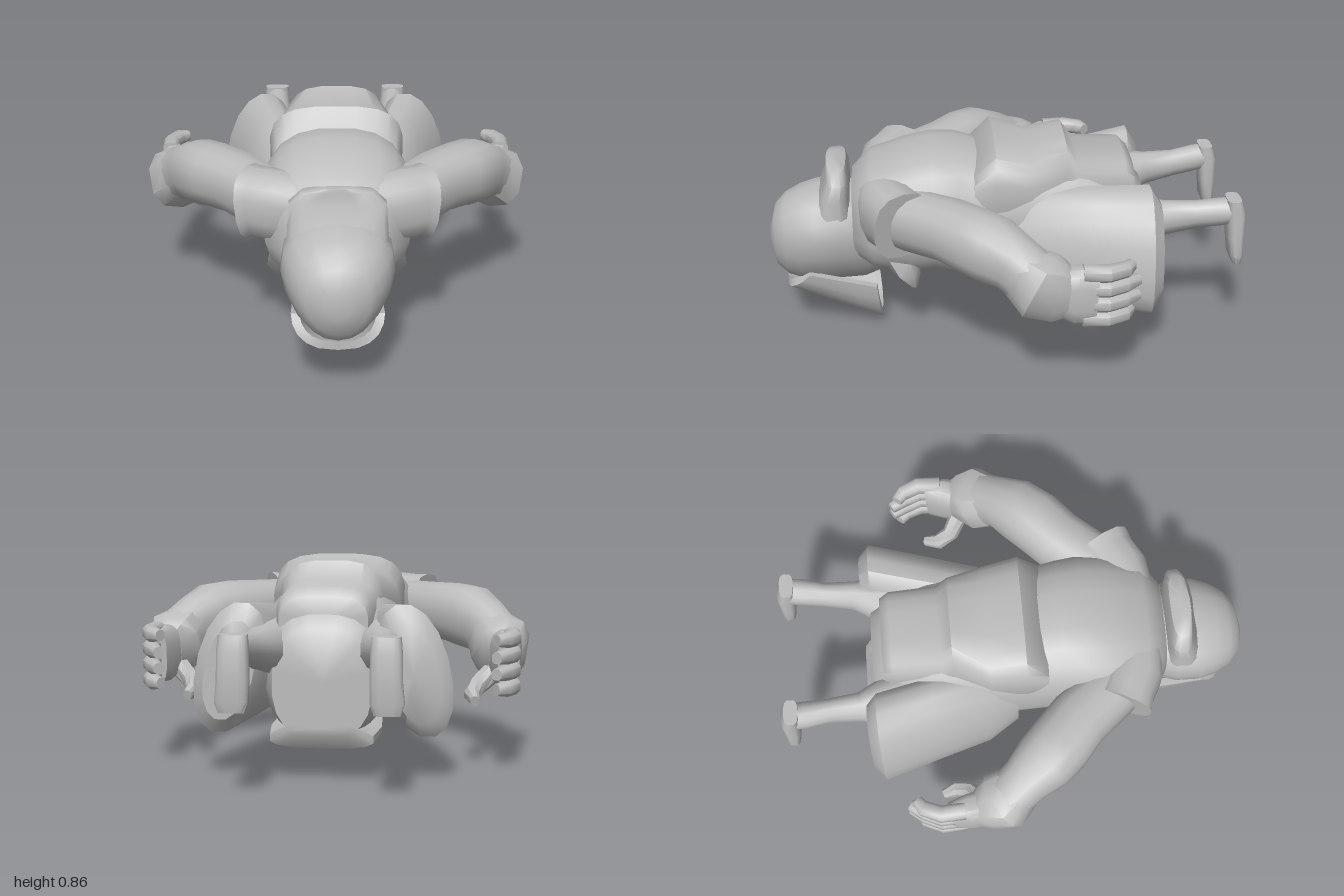
import * as THREE from 'three';
import { toCreasedNormals } from 'three/addons/utils/BufferGeometryUtils.js';

const V = (x, y, z) => new THREE.Vector3(x, y, z);

// Loft through sections [x, y, z, side radius, up radius]; a fixed axis keeps every ring parallel.
// skew leans the rings sideways with height, taper widens them with height
function loft(sections, { axis = null, power = 2, sides = 14, skew = 0, taper = 0, crease = 0.8 } = {}) {
  const pos = [], index = [], n = sections.length;
  const centre = i => V(...sections[i].slice(0, 3));
  for (let i = 0; i < n; i++) {
    const c = centre(i);
    const t = axis ? axis.clone() : centre(Math.min(i + 1, n - 1)).sub(centre(Math.max(i - 1, 0))).normalize();
    const s = (Math.abs(t.y) > 0.9 ? V(0, 0, 1) : V(0, 1, 0)).cross(t).normalize();
    const u = t.clone().cross(s);
    const bend = w => Math.sign(w) * Math.pow(Math.abs(w), 2 / power);
    for (let j = 0; j < sides; j++) {
      const a = ((j + 0.5) / sides) * Math.PI * 2;
      const p = c.clone().addScaledVector(s, bend(Math.cos(a)) * sections[i][3])
        .addScaledVector(u, bend(Math.sin(a)) * sections[i][4]);
      const h = p.y - c.y;
      pos.push(c.x + (p.x - c.x) * (1 + taper * h) + skew * h, p.y, p.z);
    }
  }
  for (let i = 0; i < n - 1; i++) for (let j = 0; j < sides; j++) {
    const a = i * sides + j, b = i * sides + (j + 1) % sides;
    index.push(a, b, b + sides, a, b + sides, a + sides);
  }
  const first = n * sides, last = first + 1, base = (n - 1) * sides;
  pos.push(...sections[0].slice(0, 3), ...sections[n - 1].slice(0, 3));
  for (let j = 0; j < sides; j++) {
    const k = (j + 1) % sides;
    index.push(first, k, j, last, base + j, base + k);
  }
  const g = new THREE.BufferGeometry();
  g.setAttribute('position', new THREE.Float32BufferAttribute(pos, 3));
  g.setIndex(index);
  return toCreasedNormals(g, crease);
}

// Mirror a geometry across x and restore its winding
function mirror(geo) {
  const g = geo.clone().scale(-1, 1, 1);
  g.deleteAttribute('normal');
  const p = g.attributes.position;
  for (let i = 0; i < p.count; i += 3) {
    const a = V().fromBufferAttribute(p, i), b = V().fromBufferAttribute(p, i + 1);
    p.setXYZ(i, b.x, b.y, b.z);
    p.setXYZ(i + 1, a.x, a.y, a.z);
  }
  return toCreasedNormals(g, 0.8);
}

// Curved trough below the face, with an inner and an outer skin
function chinGuard() {
  const cols = 10, rows = 4, pos = [], index = [];
  for (const inset of [0, 0.035]) for (let r = 0; r <= rows; r++) for (let c = 0; c <= cols; c++) {
    const t = r / rows, a = (c / cols - 0.5) * Math.PI, rise = 1 - Math.cos(a);
    const x = Math.sign(a) * Math.pow(Math.abs(Math.sin(a)), 0.75) * (0.182 - inset);
    const y = 0.19 - 0.185 * t + rise * (0.1 + 0.115 * t) + inset * Math.cos(a);
    pos.push(x, y, 0.94 - 0.41 * t - rise * (0.11 - 0.13 * t));
  }
  const w = cols + 1, skin = w * (rows + 1);
  const quad = (a, b, c, d) => index.push(a, b, c, a, c, d);
  for (let r = 0; r < rows; r++) for (let c = 0; c < cols; c++) {
    const a = r * w + c;
    quad(a, a + w, a + w + 1, a + 1);
    quad(a + skin, a + skin + 1, a + skin + w + 1, a + skin + w);
  }
  for (let c = 0; c < cols; c++) for (const a of [c, rows * w + c]) quad(a, a + 1, a + 1 + skin, a + skin);
  for (let r = 0; r < rows; r++) for (const a of [r * w, r * w + cols]) quad(a, a + w, a + w + skin, a + skin);
  const g = new THREE.BufferGeometry();
  g.setAttribute('position', new THREE.Float32BufferAttribute(pos, 3));
  g.setIndex(index);
  return toCreasedNormals(g, 0.7);
}

export function createModel() {
  const root = new THREE.Group();
  root.name = 'proneFigure';
  const grey = new THREE.MeshStandardMaterial({ color: 0xbcbcbc });
  grey.name = 'grey';
  grey.side = THREE.DoubleSide;
  const add = (name, geo) => {
    const m = new THREE.Mesh(geo, grey);
    m.name = name;
    root.add(m);
  };
  const pair = (name, geo) => {
    add(name + 'Left', geo);
    add(name + 'Right', mirror(geo));
  };
  const back = V(0, 0, -1), down = V(0, -1, 0);
  // Central bodies: rows of z, half width, bottom y, top y
  const body = (rows, opts) => loft(rows.map(([z, w, lo, hi]) => [0, (lo + hi) / 2, z, w, (hi - lo) / 2]),
    { axis: back, ...opts });

  // Torso and the flared hem over the lower back
  add('torso', body([
    [0.64, 0.2, 0.34, 0.68], [0.56, 0.29, 0.3, 0.75], [0.4, 0.31, 0.27, 0.8], [0.3, 0.31, 0.28, 0.82],
    [0.2, 0.3, 0.25, 0.82], [0.1, 0.29, 0.22, 0.79], [-0.15, 0.29, 0.185, 0.79], [-0.35, 0.27, 0.17, 0.76],
    [-0.52, 0.24, 0.17, 0.7], [-0.6, 0.2, 0.18, 0.62]], { power: 2.7, sides: 20, crease: 1 }));
  add('backHem', body([
    [0.13, 0.27, 0.5, 0.77], [0.04, 0.285, 0.48, 0.865], [-0.11, 0.27, 0.48, 0.815], [-0.26, 0.215, 0.46, 0.86],
    [-0.31, 0.205, 0.46, 0.79], [-0.51, 0.195, 0.5, 0.78], [-0.55, 0.18, 0.52, 0.74]],
  { power: 3.2, sides: 20, crease: 1 }));
  add('frontCloth', body([
    [-0.05, 0.17, 0.19, 0.24], [-0.2, 0.215, 0.172, 0.23], [-0.45, 0.23, 0.155, 0.22], [-0.61, 0.21, 0.14, 0.22],
    [-0.655, 0.13, 0.2, 0.26]], { power: 3, crease: 0.7 }));

  // Head, raised nape and chin guard
  add('head', body([
    [0.999, 0.05, 0.35, 0.45], [0.975, 0.125, 0.27, 0.54], [0.93, 0.165, 0.225, 0.585], [0.87, 0.195, 0.205, 0.615],
    [0.8, 0.215, 0.2, 0.635], [0.7, 0.215, 0.2, 0.65], [0.6, 0.175, 0.2, 0.62], [0.5, 0.14, 0.24, 0.58]],
  { sides: 18, power: 2.15, taper: 0.9, crease: 1.2 }));
  add('nape', loft([
    [0, 0.768, 0.725, 0.06, 0.02], [0, 0.75, 0.705, 0.14, 0.042], [0, 0.7, 0.7, 0.19, 0.05],
    [0, 0.63, 0.715, 0.195, 0.065], [0, 0.48, 0.72, 0.205, 0.09]], { axis: down, power: 3.4, sides: 16 }));
  add('chinGuard', chinGuard());
  pair('lapel', loft([[0.17, 0.42, 0.46, 0.1, 0.09], [0.2, 0.32, 0.42, 0.09, 0.06], [0.22, 0.25, 0.39, 0.03, 0.015]],
    { axis: down, power: 3, sides: 8 }));

  // Arms with sleeve caps, square elbows and flared cuffs
  pair('sleeve', loft([[0.1, 0.58, 0.53, 0.1, 0.14], [0.24, 0.6, 0.485, 0.125, 0.145], [0.31, 0.6, 0.45, 0.12, 0.14],
    [0.35, 0.595, 0.43, 0.13, 0.15]], { power: 2.5 }));
  pair('arm', loft([[0.27, 0.59, 0.42, 0.12, 0.125], [0.41, 0.6, 0.24, 0.13, 0.125], [0.51, 0.6, 0.15, 0.135, 0.13],
    [0.575, 0.59, 0.08, 0.13, 0.135], [0.635, 0.56, 0, 0.105, 0.12], [0.69, 0.51, -0.08, 0.1, 0.115]], { power: 2.4 }));
  pair('cuff', loft([[0.655, 0.54, -0.03, 0.1, 0.11], [0.7, 0.49, -0.1, 0.128, 0.135], [0.715, 0.47, -0.17, 0.095, 0.125],
    [0.72, 0.465, -0.21, 0.07, 0.1]], { power: 2.6, sides: 10, crease: 0.6 }));

  // Hands with four curled fingers and a thumb
  pair('palm', loft([[0.71, 0.47, -0.15, 0.07, 0.09], [0.725, 0.46, -0.24, 0.065, 0.125], [0.735, 0.455, -0.32, 0.045, 0.115]],
    { power: 3, sides: 12 }));
  for (let i = 0; i < 4; i++) {
    const y = 0.362 + i * 0.066, reach = i === 0 || i === 3 ? -0.455 : -0.485;
    pair('finger' + (i + 1), loft([[0.745, y, -0.26, 0.035, 0.034], [0.75, y, -0.36, 0.035, 0.034],
      [0.72, y, -0.43, 0.032, 0.032], [0.685, y, reach, 0.024, 0.024]], { power: 2.6, sides: 8 }));
  }
  pair('thumb', loft([[0.68, 0.4, -0.18, 0.04, 0.045], [0.61, 0.34, -0.23, 0.035, 0.04], [0.585, 0.31, -0.29, 0.033, 0.035],
    [0.6, 0.295, -0.35, 0.02, 0.022]], { power: 2.4, sides: 8 }));

  // Baggy thighs, slim shins and downturned feet
  pair('thigh', loft([[0.22, 0.43, 0, 0.08, 0.15], [0.255, 0.44, -0.13, 0.12, 0.225], [0.305, 0.45, -0.35, 0.135, 0.245],
    [0.37, 0.455, -0.59, 0.14, 0.265], [0.365, 0.45, -0.635, 0.1, 0.2]],
  { axis: back, power: 2.15, sides: 16, skew: -0.19, crease: 0.6 }));
  pair('shin', loft([[0.2, 0.53, -0.35, 0.12, 0.12], [0.24, 0.535, -0.56, 0.105, 0.105], [0.255, 0.545, -0.67, 0.06, 0.075],
    [0.265, 0.56, -0.8, 0.05, 0.06], [0.28, 0.575, -0.9, 0.057, 0.06], [0.285, 0.585, -0.97, 0.055, 0.055]], { sides: 12 }));
  pair('foot', loft([[0.285, 0.64, -0.95, 0.055, 0.03], [0.285, 0.58, -0.96, 0.06, 0.04], [0.285, 0.47, -0.965, 0.062, 0.035],
    [0.29, 0.39, -0.97, 0.065, 0.03], [0.29, 0.35, -0.975, 0.05, 0.018]],
  { axis: down, power: 3.2, sides: 12 }));

  return root;
}
